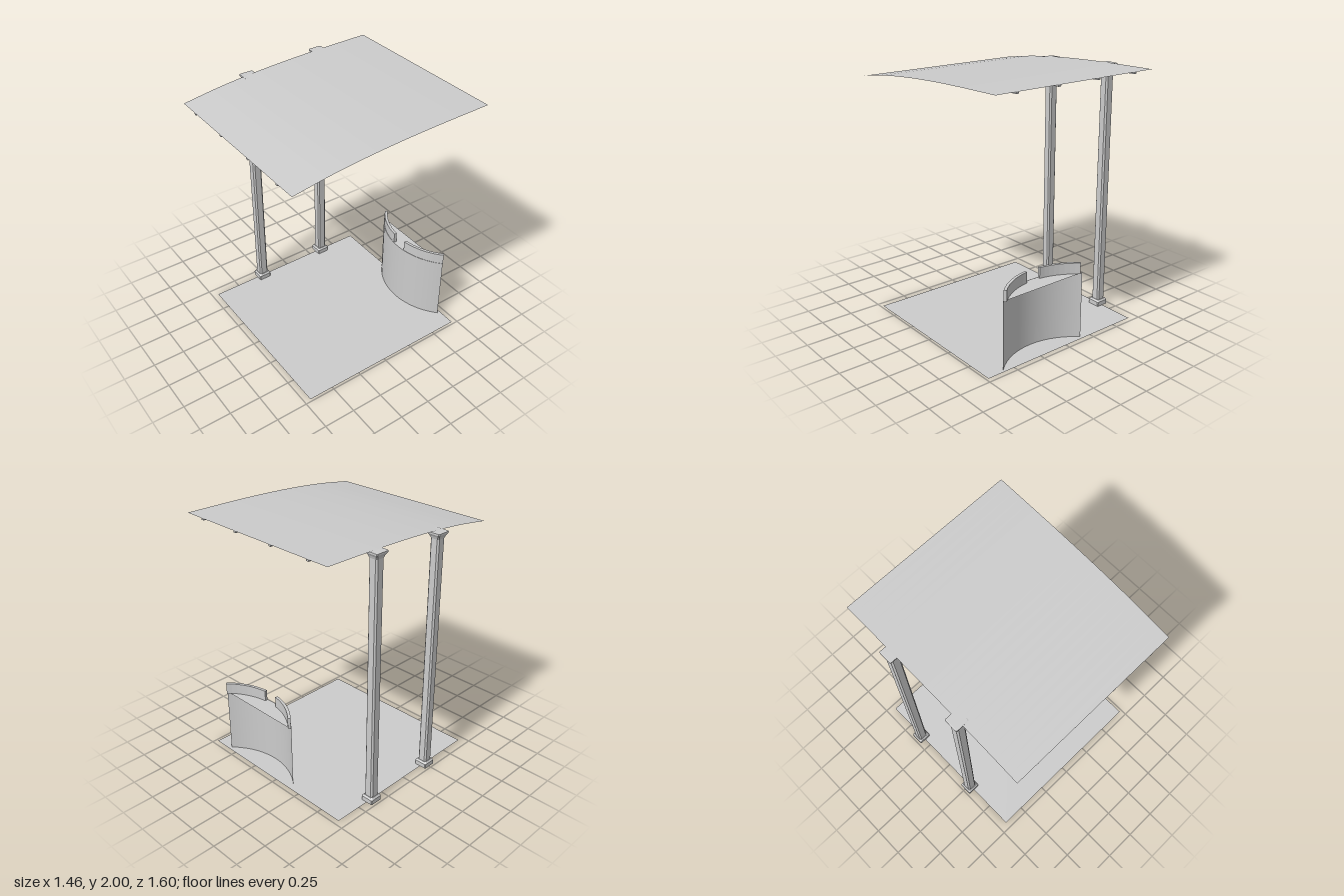
import * as THREE from 'three';

const grey = new THREE.MeshStandardMaterial({ color: 0xcccccc });
const greyThin = new THREE.MeshStandardMaterial({ color: 0xcccccc, side: THREE.DoubleSide });
const greyFlat = new THREE.MeshStandardMaterial({ color: 0xcccccc, flatShading: true });

function add(parent, name, geometry, material) {
  const mesh = new THREE.Mesh(geometry, material);
  mesh.name = name;
  parent.add(mesh);
  return mesh;
}

// Roof profile: height as a function of depth
const profile = new THREE.CatmullRomCurve3(
  [[0.8, 1.887], [0.5, 1.932], [0.2, 1.962], [-0.1, 1.981], [-0.4, 1.992], [-0.8, 2.0]]
    .map(([z, y]) => new THREE.Vector3(0, y, z))
);
const profilePoints = profile.getPoints(60);
function roofHeight(z) {
  for (let i = 1; i < profilePoints.length; i++) {
    const a = profilePoints[i - 1], b = profilePoints[i];
    if (z >= b.z) return a.y + (b.y - a.y) * (z - a.z) / (b.z - a.z);
  }
  return 2.0;
}

// Bends a flat geometry to the roof profile
function bend(geometry, offset) {
  const p = geometry.attributes.position;
  for (let i = 0; i < p.count; i++) p.setY(i, p.getY(i) + roofHeight(p.getZ(i)) + offset);
  geometry.computeVertexNormals();
  return geometry;
}

// Lofts chamfered-square rings given as [y, half width, chamfer]
function loftSquare(rings) {
  const pos = [], index = [];
  for (const [y, h, c] of rings) {
    const k = h - c;
    for (const [x, z] of [[h, k], [k, h], [-k, h], [-h, k], [-h, -k], [-k, -h], [k, -h], [h, -k]]) pos.push(x, y, z);
  }
  for (let r = 0; r < rings.length - 1; r++) {
    for (let i = 0; i < 8; i++) {
      const a = r * 8 + i, b = r * 8 + (i + 1) % 8;
      index.push(a, a + 8, b, b, a + 8, b + 8);
    }
  }
  const top = (rings.length - 1) * 8;
  for (let i = 1; i < 7; i++) {
    index.push(0, i, i + 1);
    index.push(top, top + i + 1, top + i);
  }
  const g = new THREE.BufferGeometry();
  g.setAttribute('position', new THREE.Float32BufferAttribute(pos, 3));
  g.setIndex(index);
  g.computeVertexNormals();
  return g;
}

// Column with plinth, chamfered shaft and flared capital
function column(name, z, top) {
  const g = new THREE.Group();
  g.name = name;
  add(g, 'plinth', loftSquare([[0, 0.052, 0.006], [0.036, 0.052, 0.006], [0.05, 0.041, 0.008]]), greyFlat);
  add(g, 'shaft', loftSquare([[0.03, 0.037, 0.012], [top - 0.04, 0.037, 0.012]]), greyFlat);
  add(g, 'capital', loftSquare([
    [top - 0.05, 0.037, 0.01], [top - 0.032, 0.043, 0.008], [top - 0.018, 0.052, 0.007],
    [top - 0.014, 0.055, 0.007], [top - 0.002, 0.055, 0.007], [top, 0.05, 0.007],
  ]), greyFlat);
  g.position.set(-0.68, 0, z);
  return g;
}

// Counter arc: centre, radius and helpers
const cx = 0.205, cz = -1.079, R = 0.544;
const halfAngle = Math.asin(0.375 / R);
const angleAt = (x, r) => Math.asin((x - cx) / r);

// Ring sector standing between two x positions
function lip(x0, x1, outer, inner, height) {
  const n = 8, a0 = angleAt(x0, outer), a1 = angleAt(x1, outer);
  const shape = new THREE.Shape();
  for (let i = 0; i <= n; i++) {
    const a = a0 + (a1 - a0) * i / n;
    shape[i ? 'lineTo' : 'moveTo'](Math.sin(a) * outer, -Math.cos(a) * outer);
  }
  for (let i = n; i >= 0; i--) {
    const a = a0 + (a1 - a0) * i / n;
    shape.lineTo(Math.sin(a) * inner, -Math.cos(a) * inner);
  }
  shape.closePath();
  return new THREE.ExtrudeGeometry(shape, { depth: height, bevelEnabled: false }).rotateX(-Math.PI / 2);
}

function counter() {
  const g = new THREE.Group();
  g.name = 'counter';
  // Curved front panel, open at the back
  add(g, 'counterFront', new THREE.CylinderGeometry(R, R, 0.535, 14, 1, true, -halfAngle, 2 * halfAngle)
    .translate(0, 0.2675, 0), greyThin);
  // Worktop filling the arc up to its chord
  const top = new THREE.Shape();
  for (let i = 0; i <= 14; i++) {
    const a = -halfAngle + 2 * halfAngle * i / 14;
    top[i ? 'lineTo' : 'moveTo'](Math.sin(a) * R, -Math.cos(a) * R);
  }
  top.closePath();
  add(g, 'worktop', new THREE.ShapeGeometry(top).rotateX(-Math.PI / 2).translate(0, 0.534, 0), greyThin);
  // Raised lips on each side of the opening
  add(g, 'rightLip', lip(-0.157, 0.14, 0.54, 0.518, 0.087), grey).position.y = 0.533;
  add(g, 'leftLip', lip(0.265, 0.578, 0.54, 0.518, 0.087), grey).position.y = 0.533;
  g.position.set(cx, 0, cz);
  return g;
}

export function createModel() {
  const model = new THREE.Group();
  model.name = 'shelter';

  // Floor sheet
  add(model, 'floor', new THREE.PlaneGeometry(1.41, 1.41).rotateX(-Math.PI / 2), greyThin)
    .position.set(0.025, 0, -0.005);

  // Curved roof sheet
  const roof = new THREE.PlaneGeometry(1.41, 1.6, 1, 24).rotateX(-Math.PI / 2);
  add(model, 'roof', bend(roof, 0), greyThin).position.x = 0.025;

  // Ribs under the roof
  for (let i = 0; i < 4; i++) {
    const rib = new THREE.BoxGeometry(0.022, 0.012, 1.6, 1, 1, 24);
    add(model, 'roofRib' + (i + 1), bend(rib, -0.007), grey).position.x = -0.505 + i * 0.354;
  }

  // Columns along the right side
  model.add(column('frontColumn', 0.255, 1.955));
  model.add(column('rearColumn', -0.365, 1.989));

  model.add(counter());
  return model;
}
